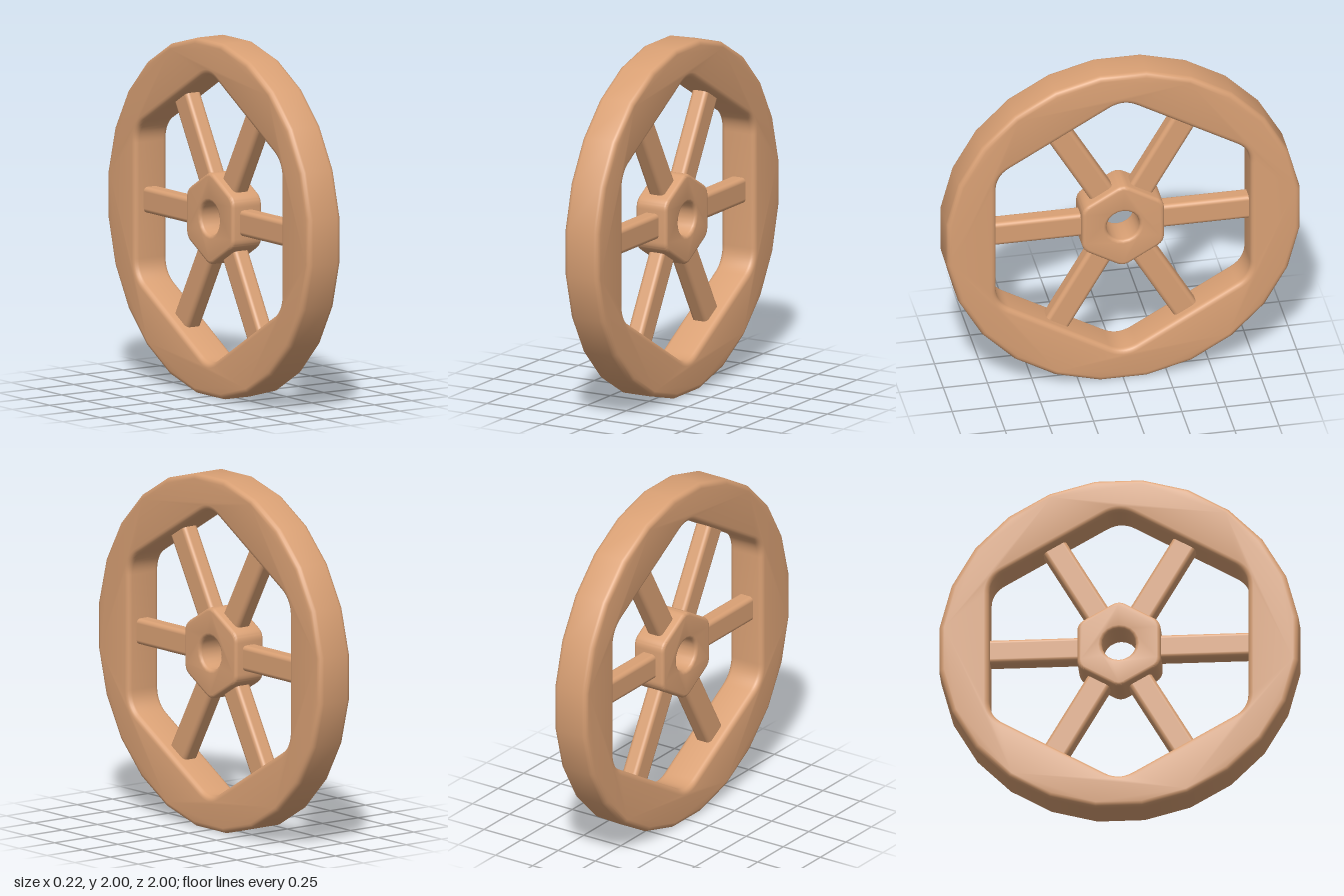
import * as THREE from 'three';
import { toCreasedNormals } from 'three/addons/utils/BufferGeometryUtils.js';
import { RoundedBoxGeometry } from 'three/addons/geometries/RoundedBoxGeometry.js';

// Hexagon with a point at the top; each corner is rounded from a distance t along its edges.
function roundedHexagon(path, apothem, t) {
  const r = apothem / Math.cos(Math.PI / 6);
  const corner = (i) => {
    const a = Math.PI / 2 + (i * Math.PI) / 3;
    return new THREE.Vector2(r * Math.cos(a), r * Math.sin(a));
  };
  for (let i = 0; i < 6; i++) {
    const c = corner(i);
    const start = c.clone().lerp(corner(i - 1), t / r);
    const end = c.clone().lerp(corner(i + 1), t / r);
    if (i === 0) path.moveTo(start.x, start.y);
    else path.lineTo(start.x, start.y);
    path.quadraticCurveTo(c.x, c.y, end.x, end.y);
  }
  path.closePath();
  return path;
}

// Extrude along x, centred, with softened edges inside the given outline.
function softSlab(shape, width, bevel) {
  const g = new THREE.ExtrudeGeometry(shape, {
    depth: width - 2 * bevel,
    bevelEnabled: true,
    bevelThickness: bevel,
    bevelSize: bevel,
    bevelOffset: -bevel,
    bevelSegments: 4,
    curveSegments: 10,
  });
  g.translate(0, 0, bevel - width / 2);
  g.rotateY(Math.PI / 2);
  return toCreasedNormals(g, 0.6);
}

export function createModel() {
  const wood = new THREE.MeshStandardMaterial({ color: 0xd9a074 });
  wood.name = 'wood';
  const wheel = new THREE.Group();
  wheel.name = 'wheel';
  wheel.position.y = 1;

  const add = (name, geometry) => {
    const mesh = new THREE.Mesh(geometry, wood);
    mesh.name = name;
    wheel.add(mesh);
    return mesh;
  };

  // Rim: 24-sided outside, hexagonal opening
  const outline = [];
  const radius = 1 / Math.cos(Math.PI / 24);
  for (let i = 0; i < 24; i++) {
    const a = ((i + 0.5) * Math.PI) / 12;
    outline.push(new THREE.Vector2(radius * Math.cos(a), radius * Math.sin(a)));
  }
  const rimShape = new THREE.Shape(outline);
  rimShape.holes.push(roundedHexagon(new THREE.Path(), 0.72, 0.09));
  add('rim', softSlab(rimShape, 0.22, 0.03));

  // Hub: rounded hexagon with a round axle hole
  const hubShape = roundedHexagon(new THREE.Shape(), 0.232, 0.045);
  hubShape.holes.push(new THREE.Path().absarc(0, 0, 0.094, 0, Math.PI * 2, true));
  add('hub', softSlab(hubShape, 0.2, 0.02));

  // Six spokes joining the flats of the hub and rim
  const spokeGeometry = new RoundedBoxGeometry(0.1, 0.145, 0.57, 4, 0.025);
  spokeGeometry.translate(0, 0, 0.475);
  for (let i = 0; i < 6; i++) {
    add(`spoke${i + 1}`, spokeGeometry).rotation.x = (i * Math.PI) / 3;
  }

  const model = new THREE.Group();
  model.add(wheel);
  return model;
}
